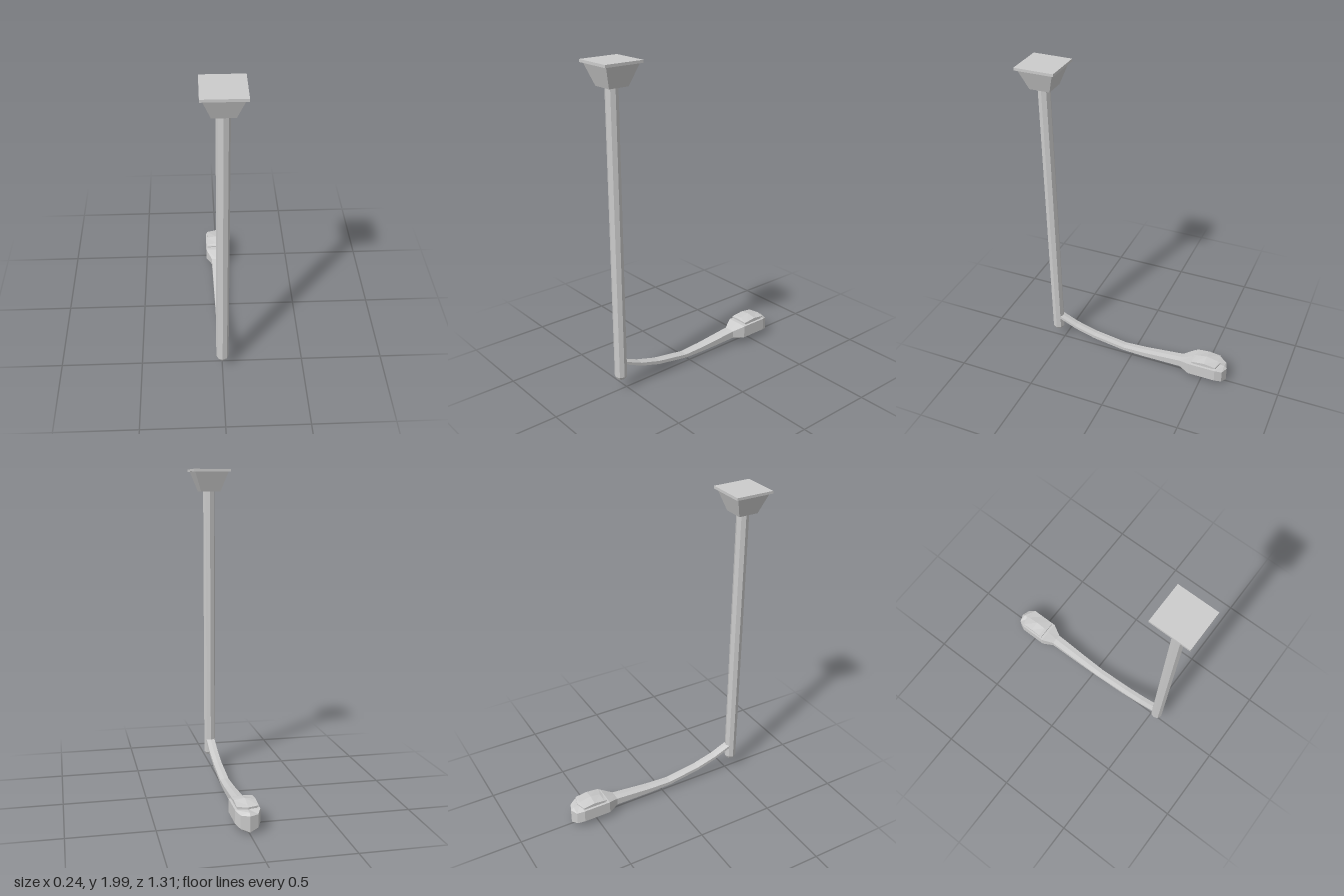
import * as THREE from 'three';

const POLE_Z = 0.539;
const BASE_Z = 0.535;

// Six-sided closed loft; each section is [z, half width, top ridge, top edge, low edge, low ridge], z decreasing
function loft(sections) {
  const rings = sections.map(([z, w, tr, te, le, lr]) => [
    [0, tr, z], [w, te, z], [w, le, z], [0, lr, z], [-w, le, z], [-w, te, z],
  ]);
  const pos = [];
  const tri = (a, b, c) => pos.push(...a, ...b, ...c);
  for (let s = 0; s < rings.length - 1; s++) {
    const A = rings[s], B = rings[s + 1];
    for (let i = 0; i < 6; i++) {
      const j = (i + 1) % 6;
      tri(A[i], A[j], B[i]);
      tri(A[j], B[j], B[i]);
    }
  }
  const first = rings[0], last = rings[rings.length - 1];
  for (let i = 1; i < 5; i++) {
    tri(first[0], first[i + 1], first[i]);
    tri(last[0], last[i], last[i + 1]);
  }
  const g = new THREE.BufferGeometry();
  g.setAttribute('position', new THREE.Float32BufferAttribute(pos, 3));
  g.computeVertexNormals();
  return g;
}

export function createModel() {
  const group = new THREE.Group();
  const material = new THREE.MeshStandardMaterial({ color: 0xcccccc, flatShading: true });
  const add = (name, geometry, x = 0, y = 0, z = 0) => {
    const mesh = new THREE.Mesh(geometry, material);
    mesh.name = name;
    mesh.position.set(x, y, z);
    group.add(mesh);
    return mesh;
  };

  // Square mounting plate and its tapered block
  add('mountPlate', new THREE.BoxGeometry(0.24, 0.016, 0.244), 0, 1.992, BASE_Z);
  const block = new THREE.CylinderGeometry(0.108 * Math.SQRT2, 0.063 * Math.SQRT2, 0.126, 4);
  block.rotateY(Math.PI / 4);
  add('mountBlock', block, 0, 1.922, BASE_Z);

  // Octagonal pole with a chamfered tip
  const profile = [[0, 0.085], [0.028, 0.085], [0.038, 0.103], [0.038, 1.87], [0, 1.87]]
    .map(([r, y]) => new THREE.Vector2(r, y));
  add('pole', new THREE.LatheGeometry(profile, 8), 0, 0, POLE_Z);

  // Curved arm, widening towards the lamp
  add('arm', loft([
    [0.525, 0.027, 0.203, 0.2, 0.182, 0.177],
    [0.4, 0.027, 0.149, 0.146, 0.126, 0.121],
    [0.265, 0.027, 0.111, 0.108, 0.086, 0.08],
    [0.05, 0.028, 0.077, 0.074, 0.052, 0.046],
    [-0.1, 0.031, 0.083, 0.08, 0.05, 0.037],
    [-0.35, 0.036, 0.106, 0.103, 0.056, 0.043],
  ]));

  // Lamp head with a keeled underside and a faceted nose
  add('lampHead', loft([
    [-0.35, 0.036, 0.106, 0.103, 0.056, 0.043],
    [-0.42, 0.072, 0.132, 0.13, 0.05, 0.014],
    [-0.44, 0.072, 0.132, 0.13, 0.05, 0.007],
    [-0.595, 0.072, 0.132, 0.13, 0.05, 0.007],
    [-0.638, 0.05, 0.128, 0.114, 0.036, 0.007],
    [-0.656, 0.002, 0.112, 0.112, 0.02, 0.02],
  ]));

  // Raised lid: a recessed neck under a peaked cap
  add('lidNeck', loft([
    [-0.445, 0.057, 0.146, 0.146, 0.125, 0.125],
    [-0.585, 0.057, 0.146, 0.146, 0.125, 0.125],
    [-0.6, 0.002, 0.146, 0.146, 0.125, 0.125],
  ]));
  add('lidCap', loft([
    [-0.435, 0.063, 0.15, 0.148, 0.14, 0.14],
    [-0.455, 0.063, 0.157, 0.151, 0.14, 0.14],
    [-0.52, 0.063, 0.168, 0.158, 0.14, 0.14],
    [-0.595, 0.063, 0.152, 0.148, 0.14, 0.14],
    [-0.612, 0.002, 0.147, 0.147, 0.14, 0.14],
  ]));

  return group;
}
